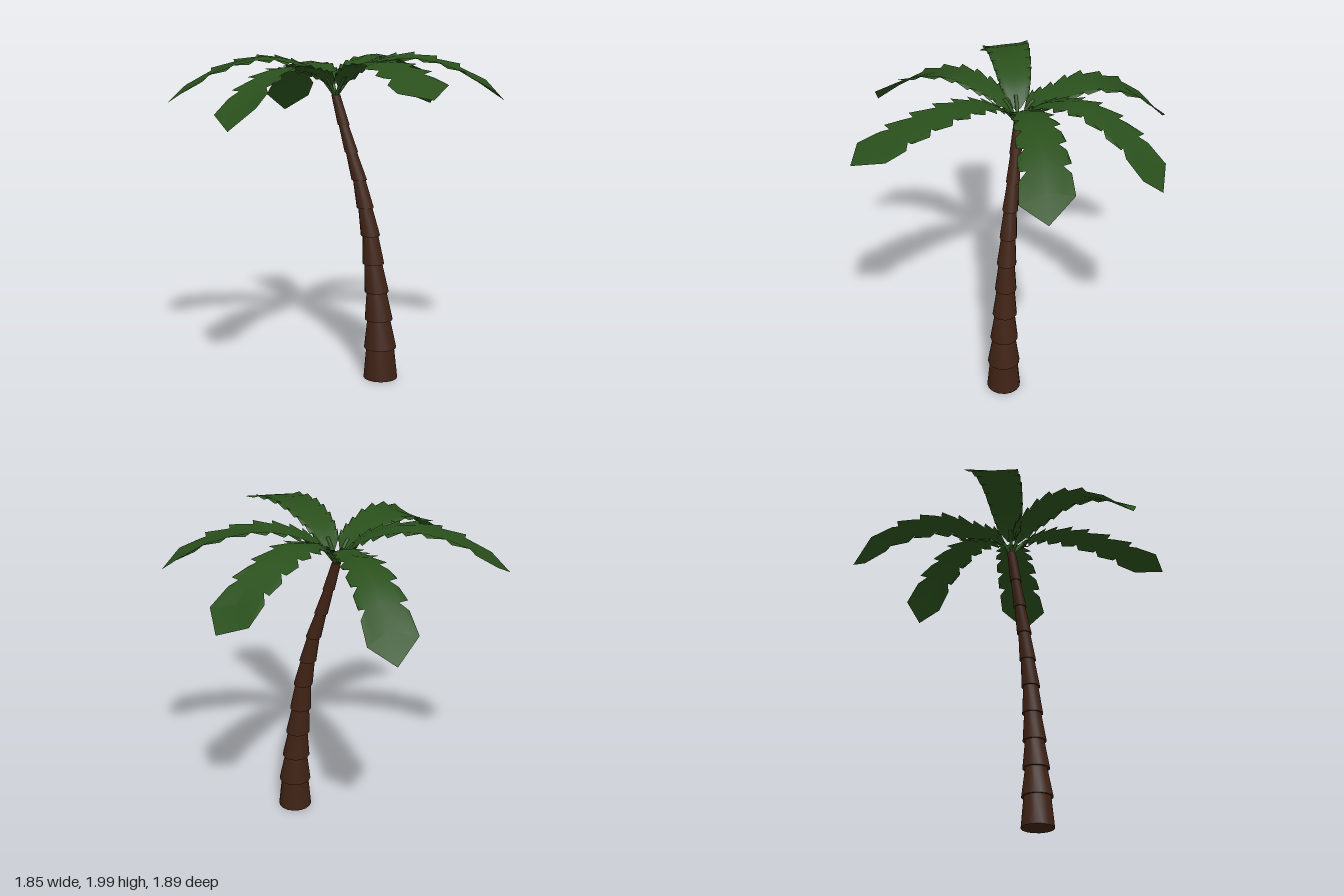
import * as THREE from 'three';
import { toCreasedNormals } from 'three/addons/utils/BufferGeometryUtils.js';

const V = (x, y, z) => new THREE.Vector3(x, y, z);
const trunkMat = new THREE.MeshStandardMaterial({ color: 0x3f2215 });
const leafMat = new THREE.MeshStandardMaterial({ color: 0x2a501c, side: THREE.DoubleSide });
const CENTRE_Z = -0.03;

// Trunk: stacked tapering collars, turned on a lathe and then bent sideways
function makeTrunk() {
  const heights = [0, 0.195, 0.375, 0.55, 0.725, 0.9, 1.07, 1.24, 1.405, 1.57, 1.75];
  const lower = [0.105, 0.1, 0.086, 0.075, 0.066, 0.059, 0.052, 0.047, 0.041, 0.036];
  const upper = [0.086, 0.07, 0.061, 0.054, 0.048, 0.043, 0.038, 0.034, 0.03, 0.027];
  const lean = [0.305, 0.302, 0.291, 0.275, 0.253, 0.232, 0.197, 0.156, 0.104, 0.052, 0];
  const profile = [new THREE.Vector2(0, 0)];
  lower.forEach((r, i) => {
    profile.push(new THREE.Vector2(r, heights[i]));
    profile.push(new THREE.Vector2(upper[i], heights[i + 1]));
  });
  profile.push(new THREE.Vector2(0, 1.75));
  const geo = new THREE.LatheGeometry(profile, 16);
  const pos = geo.attributes.position;
  for (let i = 0; i < pos.count; i++) {
    const y = pos.getY(i);
    let k = 0;
    while (k < 9 && y > heights[k + 1]) k++;
    const f = (y - heights[k]) / (heights[k + 1] - heights[k]);
    pos.setX(i, pos.getX(i) + THREE.MathUtils.lerp(lean[k], lean[k + 1], f));
  }
  const mesh = new THREE.Mesh(toCreasedNormals(geo, 0.7), trunkMat);
  mesh.position.z = CENTRE_Z;
  mesh.name = 'trunk';
  return mesh;
}

// Frond: arched spine with a row of slightly tilted leaflets on each side
function makeFrond({ tip, left, right, peak, bend }, index) {
  const frond = new THREE.Group();
  frond.name = 'frond' + (index + 1);
  const root = V(0, 1.74, CENTRE_Z);
  const across = V(tip.z - root.z, 0, -(tip.x - root.x)).normalize();
  const along = (t, y) => {
    const p = root.clone().lerp(tip, t);
    p.addScaledVector(across, bend * Math.sin(Math.PI * t));
    p.y = y;
    return p;
  };
  const spine = new THREE.CatmullRomCurve3([
    root, along(0.1, 1.87), along(0.22, peak - 0.035), along(0.42, peak),
    along(0.7, peak - 0.28 * (peak - tip.y)), tip,
  ]);

  const END = 0.9, START = 0.16, COUNT = 8, GAP = 0.016;
  const verts = [], faces = [];
  const add = (p) => verts.push(p.x, p.y, p.z) / 3 - 1;
  [[left, 1], [right, -1]].forEach(([corner, sign]) => {
    const endOffset = corner.clone().sub(spine.getPoint(END));
    const flat = across.clone().multiplyScalar(sign * endOffset.length());
    const at = (t, out, lift = 0) => {
      const k = t / END;
      const offset = flat.clone().lerp(endOffset, k).multiplyScalar(out * Math.sqrt(k));
      const p = spine.getPoint(t).add(offset);
      p.y += lift;
      return p;
    };
    const quad = (a, b, c, d) => sign > 0 ? faces.push(a, b, c, a, c, d) : faces.push(a, c, b, a, d, c);
    for (let i = 0; i < COUNT; i++) {
      const t0 = START + (END - START) * i / COUNT;
      const t1 = START + (END - START) * (i + 1) / COUNT;
      const last = i === COUNT - 1;
      const a = add(at(t0, 0)), b = add(at(t1, 0));
      const c = add(at(t1, 0.68)), d = add(at(t0, 0.68));
      const e = add(at(last ? t1 : t1 - GAP * 0.3, 1, last ? 0 : 0.012));
      const f = add(at(t0 + GAP, 0.97, -0.012));
      quad(a, b, c, d);
      quad(d, c, e, f);
      // Pointed end
      if (last) {
        const point = add(tip);
        quad(b, point, e, c);
      }
    }
    // Narrow start of the blade
    const n = add(spine.getPoint(0.1)), m = add(at(0.1, 0.35));
    quad(n, add(at(START, 0)), add(at(START, 0.8)), m);
  });
  const geo = new THREE.BufferGeometry();
  geo.setAttribute('position', new THREE.Float32BufferAttribute(verts, 3));
  geo.setIndex(faces);
  const blade = new THREE.Mesh(toCreasedNormals(geo, 0.7), leafMat);
  blade.name = 'blade';

  // Stalk joining the blade to the trunk
  const stalkPath = new THREE.CatmullRomCurve3([0, 0.05, 0.1, 0.15, 0.2].map((t) => spine.getPoint(t)));
  const stalk = new THREE.Mesh(new THREE.TubeGeometry(stalkPath, 8, 0.011, 6), leafMat);
  stalk.name = 'stalk';
  frond.add(blade, stalk);
  return frond;
}

export function createModel() {
  const model = new THREE.Group();
  model.name = 'palmTree';
  model.add(makeTrunk());
  const fronds = [
    { tip: V(0.28, 1.61, -0.95), left: V(0.09, 1.68, -0.92), right: V(0.37, 1.72, -0.85), peak: 1.97, bend: 0.035 },
    { tip: V(0.92, 1.71, -0.48), left: V(0.77, 1.82, -0.58), right: V(0.9, 1.79, -0.31), peak: 1.98, bend: 0.035 },
    { tip: V(0.86, 1.83, 0.64), left: V(0.87, 1.89, 0.43), right: V(0.67, 1.86, 0.68), peak: 1.98, bend: 0.018 },
    { tip: V(-0.21, 1.64, 0.94), left: V(-0.06, 1.77, 0.89), right: V(-0.36, 1.71, 0.82), peak: 1.95, bend: -0.03 },
    { tip: V(-0.93, 1.7, 0.38), left: V(-0.78, 1.77, 0.47), right: V(-0.91, 1.79, 0.2), peak: 1.98, bend: 0.01 },
    { tip: V(-0.7, 1.54, -0.75), left: V(-0.75, 1.66, -0.58), right: V(-0.54, 1.64, -0.79), peak: 1.92, bend: 0 },
  ];
  fronds.forEach((f, i) => model.add(makeFrond(f, i)));
  return model;
}
